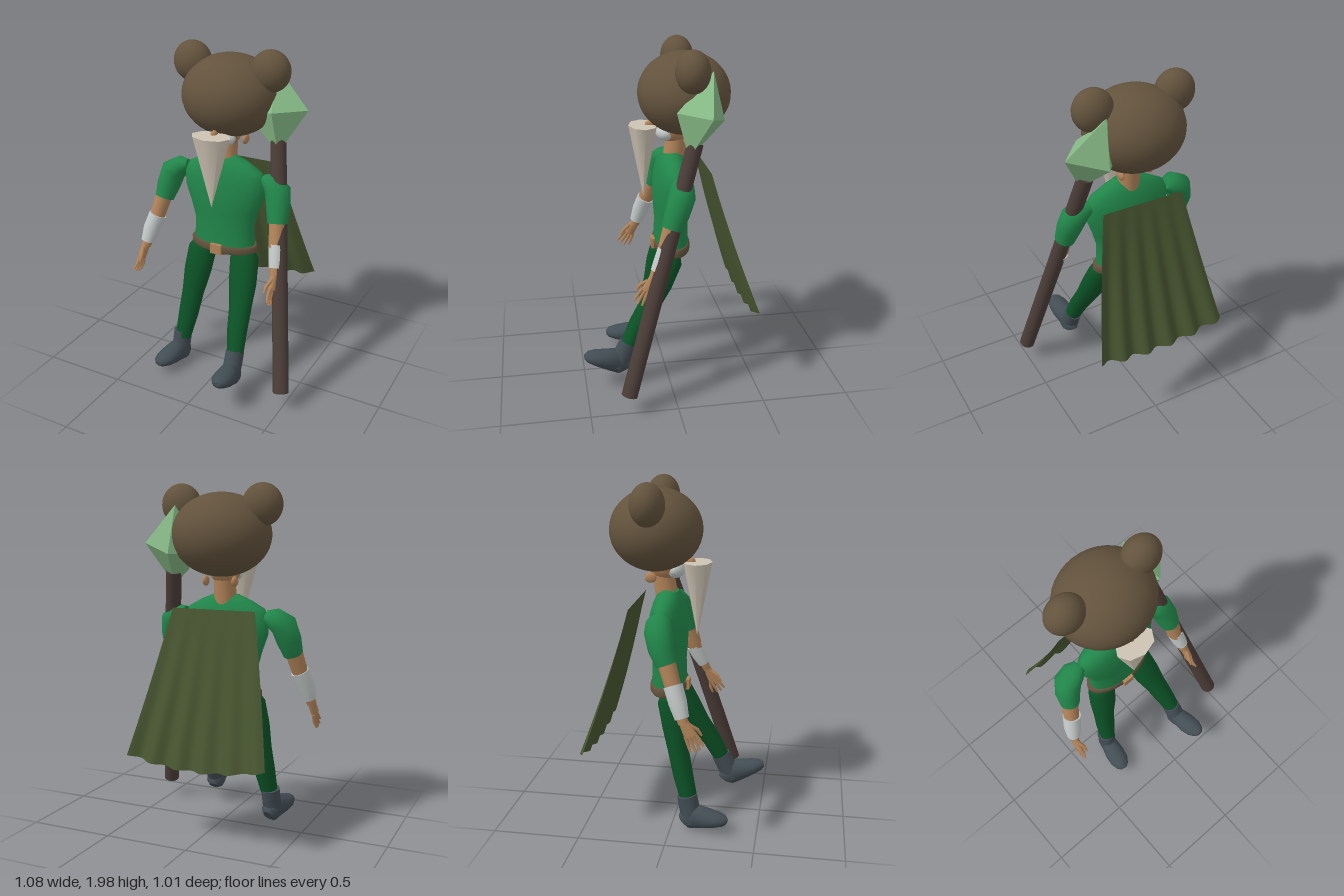
import * as THREE from 'three';
import { ConvexGeometry } from 'three/addons/geometries/ConvexGeometry.js';

const V = (x, y, z) => new THREE.Vector3(x, y, z);
const CX = -0.045; // body centre line

function mat(name, color, extra = {}) {
  const m = new THREE.MeshStandardMaterial({ color, ...extra });
  m.name = name;
  return m;
}

// Closed loft through rows [x, y, z, radiusSide, radiusOther], rings square to the path
function loft(rows, seg = 16) {
  const n = rows.length, rings = [];
  rows.forEach((r, i) => {
    const p = V(r[0], r[1], r[2]);
    const a = rows[Math.max(i - 1, 0)], b = rows[Math.min(i + 1, n - 1)];
    const t = V(b[0] - a[0], b[1] - a[1], b[2] - a[2]).normalize();
    const v = t.clone().cross(V(1, 0, 0)).normalize();
    const u = v.clone().cross(t);
    const ring = k => Array.from({ length: seg }, (_, j) => {
      const th = (j / seg) * Math.PI * 2;
      return p.clone().addScaledVector(u, Math.cos(th) * r[3] * k)
        .addScaledVector(v, Math.sin(th) * (r[4] ?? r[3]) * k);
    });
    if (i === 0) rings.push(ring(0), ring(1));
    rings.push(ring(1));
    if (i === n - 1) rings.push(ring(1), ring(0));
  });
  const pos = [], idx = [];
  rings.forEach(ring => ring.forEach(p => pos.push(p.x, p.y, p.z)));
  for (let i = 0; i < rings.length - 1; i++) {
    for (let j = 0; j < seg; j++) {
      const a = i * seg + j, b = i * seg + (j + 1) % seg;
      idx.push(a, b, a + seg, b, b + seg, a + seg);
    }
  }
  const g = new THREE.BufferGeometry();
  g.setAttribute('position', new THREE.Float32BufferAttribute(pos, 3));
  g.setIndex(idx);
  g.computeVertexNormals();
  return g;
}

export function createModel() {
  const root = new THREE.Group();
  const M = {
    fur: mat('brownFur', 0x63533d),
    tunic: mat('tunicGreen', 0x21864a),
    trousers: mat('trouserGreen', 0x0b5226),
    boot: mat('bootGrey', 0x424d54),
    skin: mat('skin', 0xb18359),
    white: mat('bracerWhite', 0xc3c9c8),
    beard: mat('beardCream', 0xcdc3b3),
    cape: mat('capeOlive', 0x475530, { side: THREE.DoubleSide }),
    wood: mat('staffWood', 0x4b3d38),
    gem: mat('gemGreen', 0x86b986, { flatShading: true }),
  };
  const add = (name, geo, m, parent = root) => {
    const o = new THREE.Mesh(geo, m);
    o.name = name;
    parent.add(o);
    return o;
  };
  const ball = (name, m, p, s, seg = 28) => {
    const o = add(name, new THREE.SphereGeometry(1, seg, Math.round(seg * 0.7)), m);
    o.position.set(...p);
    o.scale.set(...s);
    return o;
  };

  // Furry hood with round ears
  ball('hood', M.fur, [CX, 1.72, -0.118], [0.283, 0.232, 0.261], 36);
  for (const s of [-1, 1]) ball('hoodEar', M.fur, [CX + s * 0.243, 1.882, -0.12], [0.114, 0.117, 0.095]);

  // Face mostly tucked inside the hood
  ball('face', M.skin, [CX, 1.535, -0.065], [0.09, 0.1, 0.1], 18);
  ball('nose', M.skin, [CX, 1.545, 0.075], [0.018, 0.025, 0.03], 10);
  ball('whiskers', M.white, [CX, 1.5, -0.01], [0.085, 0.05, 0.055], 14);
  for (const s of [-1, 1]) ball('ear', M.skin, [CX + s * 0.088, 1.465, -0.135], [0.016, 0.03, 0.035], 10);
  add('neck', loft([[CX, 1.5, -0.08, 0.06], [CX, 1.34, -0.06, 0.065]]), M.skin);

  // Pointed beard
  const beard = add('beard', new THREE.CylinderGeometry(1, 0.01, 0.425, 8), M.beard);
  beard.scale.set(0.118, 1, 0.083);
  beard.position.set(CX, 1.332, 0.115);

  // Tunic body
  add('tunic', loft([
    [CX, 1.385, -0.035, 0.075, 0.045], [CX, 1.355, -0.042, 0.15, 0.068],
    [CX, 1.31, -0.047, 0.232, 0.085], [CX, 1.25, -0.05, 0.26, 0.1],
    [CX, 1.16, -0.05, 0.252, 0.11], [CX, 1.06, -0.048, 0.215, 0.105],
    [CX, 0.97, -0.045, 0.19, 0.095], [CX, 0.82, -0.045, 0.196, 0.1],
  ], 28), M.tunic);

  // Belt and buckle
  add('belt', loft([
    [CX, 0.85, -0.045, 0.207, 0.1], [CX, 0.84, -0.045, 0.215, 0.107],
    [CX, 0.81, -0.045, 0.215, 0.107], [CX, 0.8, -0.045, 0.207, 0.1],
  ], 28), M.fur);
  const buckle = add('buckle', new THREE.BoxGeometry(0.07, 0.06, 0.02), M.skin);
  buckle.position.set(CX, 0.828, 0.064);

  // Legs, the left one stepping forward
  add('rightLeg', loft([
    [-0.18, 0.8, -0.025, 0.07, 0.05], [-0.185, 0.765, -0.022, 0.088, 0.068],
    [-0.205, 0.62, 0.01, 0.084, 0.07], [-0.225, 0.48, 0.035, 0.068, 0.06],
    [-0.242, 0.34, 0.065, 0.062, 0.058], [-0.262, 0.18, 0.105, 0.048, 0.05],
  ]), M.trousers);
  add('leftLeg', loft([
    [0.095, 0.8, -0.03, 0.07, 0.05], [0.1, 0.765, -0.02, 0.088, 0.068],
    [0.122, 0.63, 0.045, 0.084, 0.07], [0.142, 0.51, 0.11, 0.068, 0.06],
    [0.16, 0.39, 0.185, 0.06, 0.055], [0.18, 0.26, 0.25, 0.048, 0.048],
  ]), M.trousers);

  // Boots: a shaft and a rounded foot, toe tipped up
  function boot(name, p, tilt, yaw) {
    const g = new THREE.Group();
    g.name = name;
    g.rotation.set(-tilt, yaw, 0, 'YXZ');
    g.position.set(...p);
    add('bootShaft', loft([[0, 0.035, 0, 0.054, 0.058], [0, -0.05, -0.002, 0.054, 0.06], [0, -0.13, 0, 0.054, 0.055]]), M.boot, g);
    add('bootFoot', loft([
      [0, -0.12, -0.058, 0.03, 0.04], [0, -0.108, -0.035, 0.053, 0.064],
      [0, -0.1, 0.03, 0.056, 0.074], [0, -0.115, 0.09, 0.064, 0.059],
      [0, -0.128, 0.15, 0.06, 0.044], [0, -0.138, 0.19, 0.042, 0.032],
      [0, -0.145, 0.208, 0.02, 0.015],
    ]), M.boot, g);
    root.add(g);
  }
  boot('rightBoot', [-0.27, 0.185, 0.1], 0.22, -0.18);
  boot('leftBoot', [0.177, 0.255, 0.255], 0.5, 0.1);

  // Hand pointing along a direction, with four fingers and a thumb
  function hand(name, from, to, thumbSide) {
    const g = new THREE.Group();
    g.name = name;
    g.position.copy(from);
    g.quaternion.setFromUnitVectors(V(0, -1, 0), to.clone().sub(from).normalize());
    add('palm', loft([[0, 0.02, 0, 0.022], [0, -0.03, 0, 0.023, 0.03], [0, -0.09, 0, 0.02, 0.036]], 10), M.skin, g);
    for (let i = 0; i < 4; i++) {
      const z = -0.027 + i * 0.018;
      add('finger', loft([[0, -0.08, z, 0.011], [0.006 * thumbSide, -0.13, z * 1.3, 0.01], [0, -0.185 + Math.abs(z) * 0.6, z * 1.5, 0.006]], 8), M.skin, g);
    }
    add('thumb', loft([[0, -0.03, 0.02, 0.012], [0.02 * thumbSide, -0.075, 0.045, 0.011], [0.025 * thumbSide, -0.115, 0.05, 0.006]], 8), M.skin, g);
    root.add(g);
  }

  // Right arm, hanging outward
  add('rightSleeve', loft([
    [-0.29, 1.275, -0.06, 0.03, 0.04], [-0.335, 1.262, -0.055, 0.06, 0.07],
    [-0.39, 1.225, -0.045, 0.075, 0.078], [-0.415, 1.14, -0.025, 0.07, 0.072],
    [-0.43, 1.06, 0.005, 0.056, 0.058],
  ]), M.tunic);
  add('rightForearm', loft([[-0.428, 1.09, 0, 0.05], [-0.46, 0.95, 0.045, 0.045], [-0.51, 0.76, 0.11, 0.028]]), M.skin);
  add('rightBracer', loft([[-0.458, 0.955, 0.045, 0.053], [-0.485, 0.87, 0.075, 0.051], [-0.503, 0.79, 0.1, 0.04]]), M.white);
  hand('rightHand', V(-0.507, 0.775, 0.108), V(-0.53, 0.62, 0.19), 1);

  // Left arm, lying along the staff
  add('leftSleeve', loft([
    [0.2, 1.275, -0.065, 0.03, 0.04], [0.245, 1.265, -0.06, 0.06, 0.065],
    [0.29, 1.225, -0.05, 0.074, 0.075], [0.31, 1.14, -0.02, 0.07, 0.07],
    [0.322, 1.055, 0.01, 0.058, 0.06],
  ]), M.tunic);
  add('leftForearm', loft([[0.322, 1.09, 0.005, 0.05], [0.335, 0.95, 0.045, 0.045], [0.36, 0.78, 0.12, 0.027]]), M.skin);
  add('leftBracer', loft([[0.34, 0.94, 0.045, 0.049], [0.35, 0.87, 0.075, 0.045], [0.357, 0.82, 0.1, 0.037]]), M.white);
  hand('leftHand', V(0.36, 0.79, 0.115), V(0.37, 0.66, 0.185), -1);

  // Staff with a crystal head
  add('staff', loft([[0.25, 1.51, -0.127, 0.045], [0.495, 0.13, 0.28, 0.046]], 18), M.wood);
  add('crystal', new ConvexGeometry([
    V(0.182, 1.88, -0.235), V(0.265, 1.43, -0.09),
    V(0.197, 1.615, -0.298), V(0.397, 1.67, -0.19),
    V(0.25, 1.678, -0.025), V(0.055, 1.62, -0.13),
  ]), M.gem);

  // Cape: a flaring sheet whose folds deepen toward the hem
  const cape = new THREE.PlaneGeometry(1, 1, 48, 10);
  const cp = cape.attributes.position;
  for (let i = 0; i < cp.count; i++) {
    const u = cp.getX(i) * 2, v = 0.5 - cp.getY(i);
    const x = CX + u * (0.248 + 0.159 * v);
    const hemX = CX + u * 0.407;
    const fold = Math.cos(((hemX + 0.405) / 0.155) * Math.PI * 2);
    const y = 1.315 - v * (0.855 - 0.05 * u * u);
    const z = -0.232 - 0.2 * v - 0.046 * v * v - 0.019 * v * fold;
    cp.setXYZ(i, x, y, z);
  }
  cape.computeVertexNormals();
  add('cape', cape, M.cape);

  return root;
}
